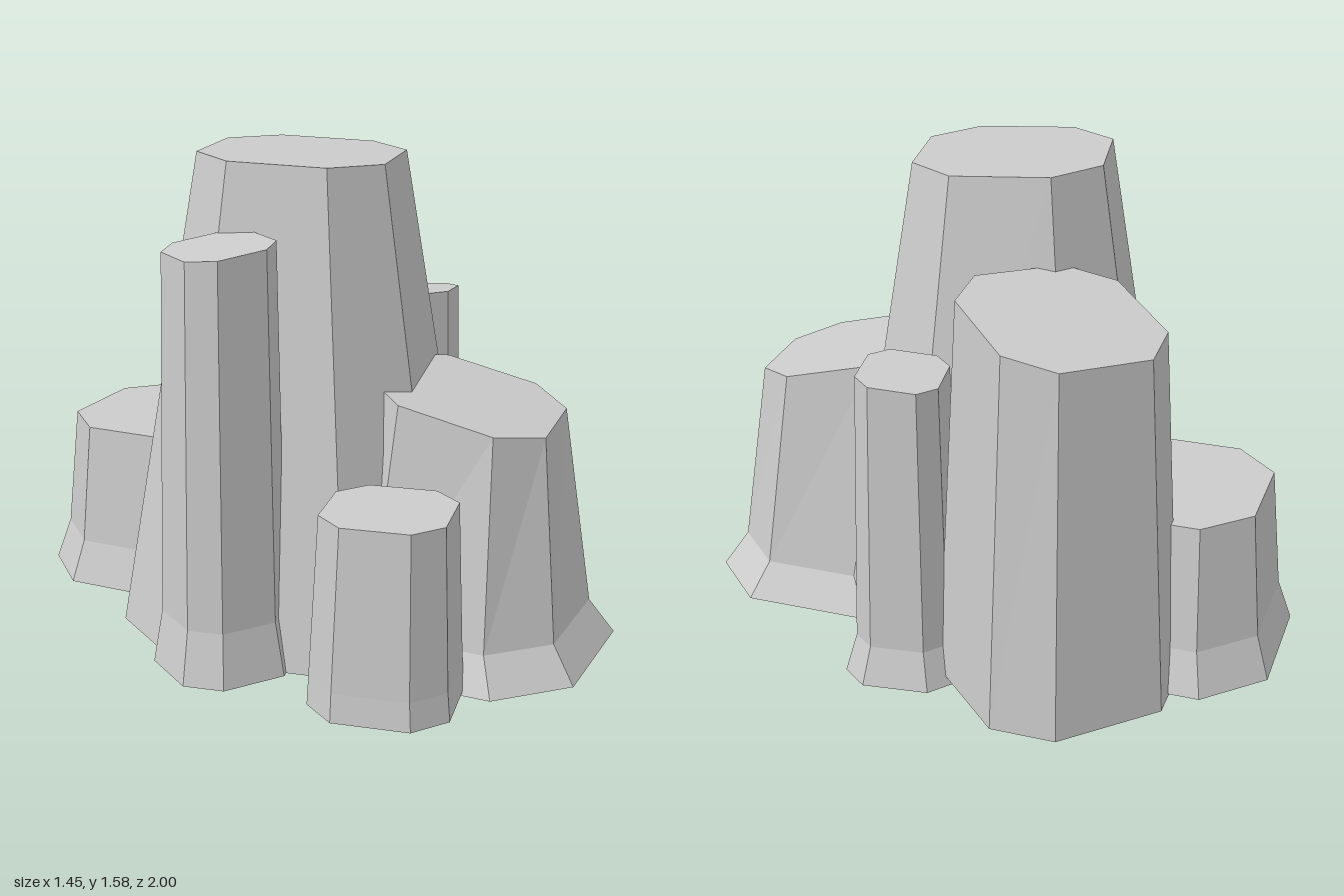
import * as THREE from 'three';

const DEG = Math.PI / 180;
// The columns are open underneath, so their inner walls show too
const material = new THREE.MeshStandardMaterial({ color: 0xcccccc, flatShading: true, side: THREE.DoubleSide });

// Eight-sided ring: four pairs of corners, alternating short and long edges.
// Height follows a plane tilted by (tx, tz) about the ring centre.
function ring({ x, z, r, y, rot, half, tx, tz }) {
  const points = [];
  for (let i = 0; i < 4; i++) {
    for (const side of [-1, 1]) {
      const a = (rot + i * 90 + side * half) * DEG;
      const dx = r * Math.cos(a), dz = r * Math.sin(a);
      points.push(new THREE.Vector3(x + dx, y + tx * dx + tz * dz, z + dz));
    }
  }
  return points;
}

// Rock column: stacked rings joined by facets, closed on top, open underneath.
function column(name, rings) {
  const loops = rings.map(ring);
  const pos = [];
  const tri = (...corners) => corners.forEach((p) => pos.push(p.x, p.y, p.z));
  for (let k = 0; k < loops.length - 1; k++) {
    for (let i = 0; i < 8; i++) {
      const j = (i + 1) % 8;
      const [lower, upper] = [loops[k], loops[k + 1]];
      tri(lower[i], upper[i], lower[j]);
      tri(lower[j], upper[i], upper[j]);
    }
  }
  const top = loops[loops.length - 1];
  for (let i = 1; i < 7; i++) tri(top[0], top[i + 1], top[i]);

  const geometry = new THREE.BufferGeometry();
  geometry.setAttribute('position', new THREE.Float32BufferAttribute(pos, 3));
  geometry.computeVertexNormals();
  const mesh = new THREE.Mesh(geometry, material);
  mesh.name = name;
  return mesh;
}

// rings, from base to top: [x, z, radius, y]; the middle one is where the foot flares out
const COLUMNS = [
  { name: 'mainColumn', rot: 2, half: 17.5, tilt: [-0.02, -0.02],
    rings: [[-0.085, 0.03, 0.605, 0.03], [-0.085, 0.035, 0.338, 1.568]] },
  { name: 'backRightLowColumn', rot: 12, half: 17, tilt: [0, 0],
    rings: [[-0.25, -0.57, 0.435, 0.04], [-0.25, -0.57, 0.385, 0.18], [-0.255, -0.57, 0.34, 0.585]] },
  { name: 'backLeftTallColumn', rot: 57, half: 16, tilt: [0, 0.21],
    rings: [[0.195, -0.55, 0.38, 0.03], [0.197, -0.543, 0.312, 1.245]] },
  { name: 'frontLeftBroadColumn', rot: 12, topRot: 7, half: 17, tilt: [-0.12, -0.2],
    rings: [[0.248, 0.515, 0.48, 0.02], [0.238, 0.51, 0.405, 0.135], [0.236, 0.507, 0.315, 0.838]] },
  { name: 'rightSlimColumn', rot: 47, half: 17, tilt: [0.11, 0],
    rings: [[-0.527, 0.28, 0.222, 0.03], [-0.525, 0.275, 0.192, 0.2], [-0.52, 0.27, 0.17, 1.35]] },
  { name: 'leftSlimColumn', rot: 5, half: 15, tilt: [-0.02, 0.1],
    rings: [[0.495, -0.153, 0.212, 0], [0.495, -0.153, 0.173, 0.125], [0.493, -0.15, 0.15, 1.018]] },
  { name: 'frontRightShortColumn', rot: 2, half: 16, tilt: [0, 0],
    rings: [[-0.235, 0.753, 0.247, 0.03], [-0.235, 0.75, 0.24, 0.12], [-0.23, 0.75, 0.215, 0.624]] },
];

export function createModel() {
  const group = new THREE.Group();
  group.name = 'rockColumns';
  for (const { name, rot, topRot = rot, half, tilt, rings } of COLUMNS) {
    const last = rings.length - 1;
    group.add(column(name, rings.map(([x, z, r, y], i) => ({
      x, z, r, y, half,
      rot: i === last ? topRot : rot,
      tx: i === last ? tilt[0] : 0,
      tz: i === last ? tilt[1] : 0,
    }))));
  }
  return group;
}
